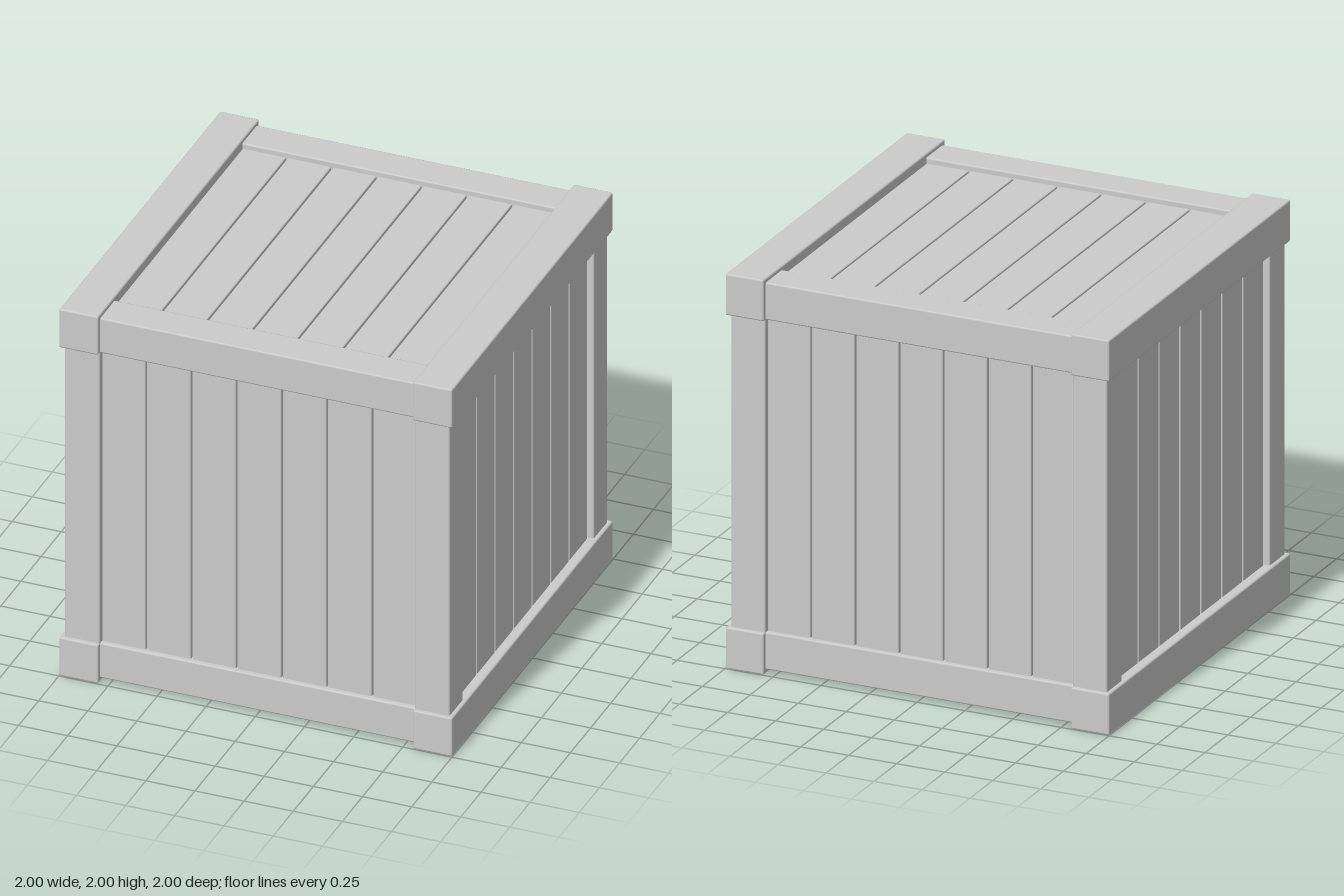
import * as THREE from 'three';
import { RoundedBoxGeometry } from 'three/addons/geometries/RoundedBoxGeometry.js';

const material = new THREE.MeshStandardMaterial({ color: 0xcccccc });

// Timber with a small bevel, given by its size and centre
function timber(name, w, h, d, x, y, z, bevel = 0.009) {
  const mesh = new THREE.Mesh(new RoundedBoxGeometry(w, h, d, 1, bevel), material);
  mesh.name = name;
  mesh.position.set(x, y, z);
  return mesh;
}

// Seven upright planks facing +z, recessed behind the frame
function plankPanel(name) {
  const panel = new THREE.Group();
  panel.name = name;
  for (let i = -3; i <= 3; i++) {
    panel.add(timber('plank', 0.222, 1.8, 0.05, i * 0.23, 0, 0.926, 0.006));
  }
  return panel;
}

export function createModel() {
  const crate = new THREE.Group();
  crate.name = 'crate';
  const box = new THREE.Group(); // built around its own centre, then lifted
  box.name = 'crateBody';
  box.position.y = 1;
  crate.add(box);

  // Inner box that closes the gaps between the planks
  const core = new THREE.Mesh(new THREE.BoxGeometry(1.86, 1.86, 1.86), material);
  core.name = 'innerBox';
  box.add(core);

  // Plank panels on all six faces
  const q = Math.PI / 2;
  const faces = [
    ['frontPanel', 0, 0], ['leftPanel', 0, q], ['backPanel', 0, 2 * q],
    ['rightPanel', 0, -q], ['topPanel', -q, 0], ['bottomPanel', q, 0],
  ];
  for (const [name, rx, ry] of faces) {
    const panel = plankPanel(name);
    panel.rotation.set(rx, ry, 0);
    box.add(panel);
  }

  // Frame: four timbers in each of the three directions
  for (const a of [-1, 1]) {
    for (const b of [-1, 1]) {
      box.add(timber('cornerPost', 0.18, 1.62, 0.17, a * 0.89, 0, b * 0.895));
      box.add(timber('sideBeam', 0.2, 0.21, 2, a * 0.9, b * 0.895, 0));
      box.add(timber('crossRail', 1.64, 0.19, 0.185, 0, a * 0.885, b * 0.8825));
    }
  }
  return crate;
}
